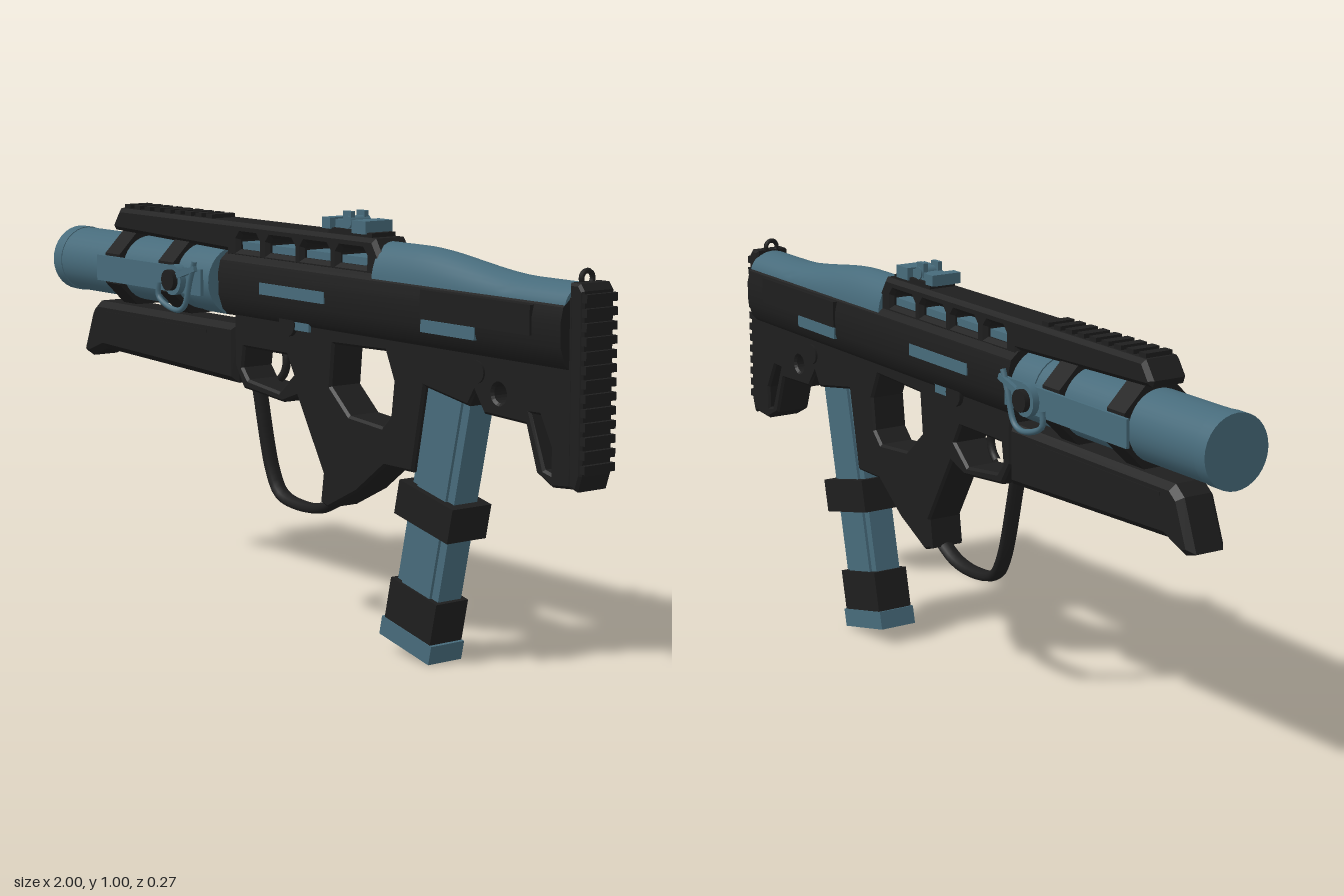
import * as THREE from 'three';
import { toCreasedNormals } from 'three/addons/utils/BufferGeometryUtils.js';

const blue = new THREE.MeshStandardMaterial({ color: 0x476b7b });
blue.name = 'steel blue';
const black = new THREE.MeshStandardMaterial({ color: 0x1e1e1e });
black.name = 'matte black';

function add(parent, name, geo, mat, x = 0, y = 0, z = 0) {
  const m = new THREE.Mesh(geo, mat);
  m.name = name;
  m.position.set(x, y, z);
  parent.add(m);
  return m;
}

const box = (w, h, d) => new THREE.BoxGeometry(w, h, d);
const vecs = (pts) => pts.map(([x, y]) => new THREE.Vector2(x, y));

// Bevelled side-profile slab, centred on z = 0
function slab(outline, half, bevel, holes = []) {
  const shape = new THREE.Shape(vecs(outline));
  shape.holes = holes.map((h) => new THREE.Path(vecs(h)));
  const geo = new THREE.ExtrudeGeometry(shape, {
    depth: 2 * (half - bevel), bevelEnabled: bevel > 0, bevelThickness: bevel,
    bevelSize: bevel, bevelOffset: -bevel, bevelSegments: 1,
  });
  geo.translate(0, 0, bevel - half);
  return geo;
}

// Symmetric cross-section (right half, bottom to top, as [z, y]) run along x
function alongX(halfPts, x0, x1, steps = 1) {
  const mirror = halfPts.slice().reverse().map(([z, y]) => [-z, y]);
  const geo = new THREE.ExtrudeGeometry(new THREE.Shape(vecs([...halfPts, ...mirror])),
    { depth: x1 - x0, bevelEnabled: false, steps });
  geo.rotateY(Math.PI / 2);
  geo.translate(x0, 0, 0);
  return geo;
}

function rodX(r, x0, x1, sides = 32) {
  const geo = new THREE.CylinderGeometry(r, r, x1 - x0, sides);
  geo.rotateZ(Math.PI / 2);
  geo.translate((x0 + x1) / 2, 0, 0);
  return geo;
}

function rodZ(r, len) {
  return new THREE.CylinderGeometry(r, r, len, 20).rotateX(Math.PI / 2);
}

function tube(pts, r, segs = 28) {
  const curve = new THREE.CatmullRomCurve3(pts.map(([x, y]) => new THREE.Vector3(x, y, 0)), false, 'centripetal');
  return new THREE.TubeGeometry(curve, segs, r, 8);
}

// Upright block from y0 to y1
const block = (w, y0, y1, half) => box(w, y1 - y0, half * 2).translate(0, (y0 + y1) / 2, 0);

export function createModel() {
  const model = new THREE.Group();
  model.name = 'model';
  const axisY = 0.797;

  // Large front barrel tube
  add(model, 'barrelTube', rodX(0.082, -0.965, -0.3), blue, 0, axisY);
  add(model, 'barrelCap', rodX(0.084, -1, -0.963), blue, 0, axisY);
  add(model, 'barrelCollar', rodX(0.085, -0.385, -0.295), blue, 0, axisY);
  add(model, 'barrelNeck', rodX(0.055, -0.31, -0.24), blue, 0, axisY);

  // Octagonal clamps around the tube
  for (const x of [-0.705, -0.465]) {
    const geo = rodX(0.1, -0.032, 0.032, 8).rotateX(Math.PI / 8);
    add(model, 'tubeClamp', toCreasedNormals(geo, 0.3), black, x, axisY);
  }

  // Top rail with open windows
  const windows = [[-0.22, -0.14], [-0.1, 0], [0.035, 0.135], [0.17, 0.27]]
    .map(([a, b]) => [[a, 0.882], [b, 0.882], [b, 0.905], [b - 0.01, 0.917], [a + 0.01, 0.917], [a, 0.905]]);
  add(model, 'topRail', slab([[-0.765, 0.89], [-0.27, 0.875], [-0.27, 0.86], [0.34, 0.86], [0.33, 0.9],
    [0.3, 0.947], [-0.74, 0.947], [-0.77, 0.905]], 0.05, 0.01, windows), black);
  add(model, 'innerBar', box(0.54, 0.04, 0.07), blue, 0.03, 0.88);
  for (let i = 0; i < 9; i++) add(model, 'railTooth', box(0.025, 0.014, 0.07), black, -0.72 + i * 0.045, 0.95);
  for (let i = 0; i < 4; i++) add(model, 'rearRailTooth', box(0.025, 0.014, 0.07), black, 0.13 + i * 0.045, 0.95);

  // Receiver
  add(model, 'receiver', toCreasedNormals(alongX([[0.045, 0.72], [0.06, 0.735], [0.072, 0.77], [0.073, 0.825],
    [0.066, 0.855], [0.045, 0.873]], -0.27, 0.95), 0.5), black);

  // Main frame: trigger guard, grip and stock in one profile
  const pinHole = [];
  for (let i = 0; i < 20; i++) {
    const a = (i / 20) * Math.PI * 2;
    pinHole.push([0.73 + 0.021 * Math.cos(a), 0.645 + 0.021 * Math.sin(a)]);
  }
  const frame = [[-0.27, 0.77], [-0.24, 0.73], [-0.24, 0.6], [-0.205, 0.545], [-0.045, 0.53], [0.01, 0.55],
    [0.11, 0.38], [0.1, 0.31], [0.13, 0.3], [0.24, 0.355], [0.34, 0.43], [0.44, 0.43], [0.48, 0.63], [0.63, 0.605],
    [0.65, 0.64], [0.68, 0.595], [0.815, 0.59], [0.85, 0.49], [0.9, 0.465], [0.96, 0.47], [0.96, 0.88], [0.9, 0.88],
    [0.9, 0.78]];
  add(model, 'frame', slab(frame, 0.047, 0.006, [
    [[0.15, 0.69], [0.34, 0.695], [0.37, 0.63], [0.36, 0.55], [0.33, 0.52], [0.21, 0.53], [0.14, 0.59]],
    [[-0.2, 0.645], [-0.03, 0.645], [-0.005, 0.6], [-0.06, 0.553], [-0.185, 0.568], [-0.208, 0.595]],
    [[0.83, 0.615], [0.86, 0.615], [0.895, 0.55], [0.895, 0.495], [0.876, 0.5]],
    pinHole]), black);
  add(model, 'trigger', tube([[-0.1, 0.66], [-0.09, 0.62], [-0.1, 0.59], [-0.115, 0.575]], 0.01, 10), black);
  const guard = tube([[-0.205, 0.56], [-0.145, 0.34], [-0.11, 0.292], [-0.02, 0.275], [0.06, 0.285], [0.13, 0.32]], 0.013);
  add(model, 'handGuard', guard.scale(1, 1, 1.7), black);

  // Foregrip under the barrel
  add(model, 'foregrip', slab([[-0.92, 0.56], [-0.875, 0.675], [-0.845, 0.698], [-0.235, 0.698], [-0.235, 0.553],
    [-0.42, 0.56], [-0.82, 0.575], [-0.885, 0.55]], 0.05, 0.015), black);

  // Rounded stock cover whose height drops toward the rear
  const arc = [];
  for (let i = 0; i < 9; i++) {
    const a = (i / 8) * Math.PI / 2;
    arc.push([0.062 * Math.cos(a) + 0.0005, Math.sin(a)]);
  }
  const cover = alongX(arc, 0.31, 0.95, 20);
  const p = cover.attributes.position;
  for (let i = 0; i < p.count; i++) {
    const drop = THREE.MathUtils.smoothstep(p.getX(i), 0.42, 0.8);
    p.setY(i, 0.85 + p.getY(i) * (0.09 - 0.038 * drop));
  }
  add(model, 'stockCover', toCreasedNormals(cover, 0.6), blue);

  // Ribbed butt pad and sling loop
  add(model, 'buttPad', slab([[0.945, 0.475], [0.975, 0.465], [0.987, 0.5], [0.987, 0.89], [0.975, 0.905],
    [0.945, 0.905]], 0.046, 0.006), black);
  for (let i = 0; i < 13; i++) add(model, 'buttRib', box(0.02, 0.018, 0.088), black, 0.988, 0.515 + i * 0.03);
  add(model, 'slingLoop', new THREE.TorusGeometry(0.016, 0.006, 8, 16).rotateY(Math.PI / 2), black, 0.95, 0.912);

  // Tilted magazine
  const mag = new THREE.Group();
  mag.name = 'magazine';
  mag.position.set(0.42, 0.037, 0);
  mag.rotation.z = -0.223;
  model.add(mag);
  add(mag, 'magazineBody', block(0.145, 0.02, 0.66, 0.034), blue);
  add(mag, 'magazineSides', block(0.1, 0.02, 0.66, 0.041), blue);
  add(mag, 'magazineFoot', block(0.18, -0.02, 0.025, 0.049), blue);
  add(mag, 'magazineLowerSleeve', block(0.165, 0.025, 0.125, 0.047), black);
  add(mag, 'magazineBand', block(0.19, 0.28, 0.362, 0.057), black);

  // Sight on the rail
  add(model, 'sightMount', box(0.13, 0.02, 0.07), black, 0.19, 0.95);
  add(model, 'sightBase', box(0.15, 0.024, 0.05), blue, 0.18, 0.967);
  add(model, 'sightRear', box(0.05, 0.03, 0.08), blue, 0.235, 0.968);
  add(model, 'sightFront', box(0.03, 0.026, 0.08), blue, 0.115, 0.97);
  add(model, 'sightDrum', rodZ(0.015, 0.06), blue, 0.18, 0.975);
  for (const s of [-1, 1]) add(model, 'sightPost', box(0.03, 0.035, 0.012), blue, 0.175, 0.983, s * 0.02);

  // Details mirrored on both sides
  for (const s of [-1, 1]) {
    add(model, 'tubeSideRail', box(0.46, 0.065, 0.008), blue, -0.53, 0.797, s * 0.1);
    add(model, 'leverHub', rodZ(0.038, 0.025), blue, -0.4, 0.797, s * 0.108);
    add(model, 'leverKnob', rodZ(0.026, 0.028), black, -0.4, 0.797, s * 0.12);
    add(model, 'leverLoop', tube([[-0.465, 0.785], [-0.465, 0.75], [-0.39, 0.723], [-0.355, 0.735], [-0.33, 0.8],
      [-0.31, 0.85]], 0.007), blue, 0, 0, s * 0.115);
    add(model, 'leverArm', box(0.1, 0.014, 0.01), blue, -0.35, 0.818, s * 0.118).rotation.z = 0.3;
    add(model, 'receiverSlot', box(0.25, 0.028, 0.008), blue, 0.025, 0.8, s * 0.071);
    add(model, 'stockPanel', box(0.36, 0.065, 0.012), black, 0.68, 0.82, s * 0.072);
    add(model, 'stockSlot', box(0.18, 0.028, 0.008), blue, 0.59, 0.772, s * 0.072);
    add(model, 'selectorPin', rodZ(0.03, 0.016), black, -0.015, 0.722, s * 0.05);
    add(model, 'selector', box(0.055, 0.028, 0.01), blue, 0.04, 0.724, s * 0.05);
    add(model, 'stockRivet', rodZ(0.025, 0.01), black, 0.66, 0.685, s * 0.047);
    add(model, 'foregripSeam', box(0.46, 0.008, 0.006), black, -0.58, 0.67, s * 0.049);
  }
  return model;
}
